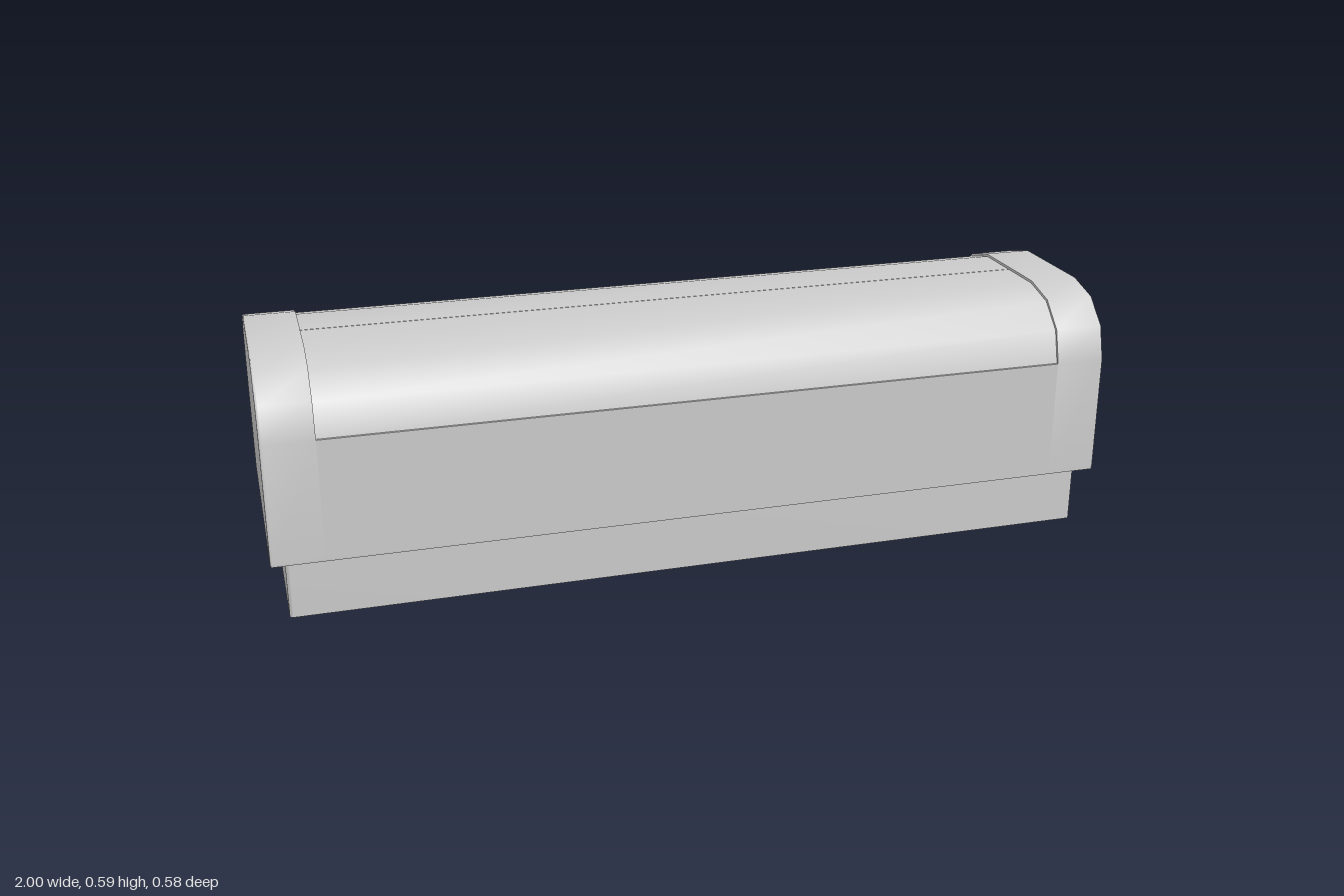
import * as THREE from 'three';
import { toCreasedNormals } from 'three/addons/utils/BufferGeometryUtils.js';

const material = new THREE.MeshStandardMaterial({ color: 0xcccccc });
const BASE = 0.145, SHOULDER = 0.433, HALF = 0.289, LID_END = 0.88, WALL = 0.004;

// Faceted arch from the shoulder to the flat top, on the +z side
const arch = [[HALF, SHOULDER], [0.268, 0.513], [0.21, 0.571], [0.125, 0.594]];

// The arch pulled inward by d
const insetArch = (d) => arch.map(([z, y]) =>
  [z * (1 - d / HALF), SHOULDER + (y - SHOULDER) * (1 - d / 0.161)]);

// Closes a half outline (bottom to top) by mirroring it about the middle
const mirrored = (half) =>
  [...half, ...half.slice().reverse().map(([z, y]) => [-z, y])];

// Wall between two half outlines, open at the bottom
const shell = (outer, inner) => [...mirrored(outer), ...mirrored(inner).reverse()];

const toShape = (points) => new THREE.Shape(points.map(([a, b]) => new THREE.Vector2(a, b)));

function addMesh(model, name, geometry) {
  const mesh = new THREE.Mesh(toCreasedNormals(geometry, 0.7), material);
  mesh.name = name;
  model.add(mesh);
}

// Extrudes a cross-section along x, optionally with softened ends
function addBar(model, name, points, x0, x1, bevel = 0) {
  const geometry = new THREE.ExtrudeGeometry(toShape(points), {
    depth: x1 - x0 - 2 * bevel,
    bevelEnabled: bevel > 0,
    bevelThickness: bevel,
    bevelSize: bevel,
    bevelOffset: -bevel,
    bevelSegments: 3,
  });
  geometry.translate(0, 0, x0 + bevel);
  geometry.rotateY(Math.PI / 2);
  addMesh(model, name, geometry);
}

function roundedRect(Type, w, d, r) {
  const s = new Type();
  s.moveTo(w - r, -d);
  s.absarc(w - r, -d + r, r, -Math.PI / 2, 0);
  s.absarc(w - r, d - r, r, 0, Math.PI / 2);
  s.absarc(-w + r, d - r, r, Math.PI / 2, Math.PI);
  s.absarc(-w + r, -d + r, r, Math.PI, Math.PI * 1.5);
  s.closePath();
  return s;
}

// Upright rectangular frame: half sizes outside and inside, corner radius, bottom and top
function addFrame(model, name, [w, d], [iw, id], r, y0, y1) {
  const shape = roundedRect(THREE.Shape, w, d, r);
  shape.holes.push(roundedRect(THREE.Path, iw, id, r));
  const geometry = new THREE.ExtrudeGeometry(shape, {
    depth: y1 - y0, bevelEnabled: false, curveSegments: 4,
  });
  geometry.rotateX(-Math.PI / 2);
  geometry.translate(0, y0, 0);
  addMesh(model, name, geometry);
}

export function createModel() {
  const model = new THREE.Group();

  // End caps: a sleeve around each end, closed by a softened plate
  const capHalf = [[HALF, BASE], ...arch];
  const sleeve = shell(capHalf, [
    [HALF - WALL, BASE], [HALF - WALL, SHOULDER - WALL], ...insetArch(0.018),
  ]);
  for (const [name, side] of [['left', 1], ['right', -1]]) {
    const span = (a, b) => (side > 0 ? [a, b] : [-b, -a]);
    addBar(model, name + 'Sleeve', sleeve, ...span(LID_END, 0.994));
    addBar(model, name + 'EndPlate', mirrored(capHalf), ...span(0.988, 1), 0.005);
  }

  // Hollow body between the caps, stepped in under the lids
  const body = shell(
    [[HALF, BASE], [HALF, SHOULDER], ...insetArch(0.014)],
    [[HALF - WALL, BASE], [HALF - WALL, SHOULDER - WALL], ...insetArch(0.018)],
  );
  addBar(model, 'body', body, -LID_END, LID_END);

  // Two lid panels meeting along the middle
  const outer = insetArch(0.006), inner = insetArch(0.014);
  const lidOutline = [
    ...outer, [0.001, outer[3][1]],
    [0.001, inner[3][1]], ...inner.reverse(),
  ];
  for (const [name, side] of [['backLid', 1], ['frontLid', -1]]) {
    const outline = lidOutline.map(([z, y]) => [z * side, y]);
    addBar(model, name, outline, -LID_END, LID_END);
  }

  // Underside with a large opening into the hollow body
  addFrame(model, 'underside', [0.998, HALF], [0.8, 0.145], 0.002, BASE, BASE + WALL);

  // Thin-walled plinth, open underneath
  addFrame(model, 'plinth', [0.967, 0.256], [0.963, 0.252], 0.008, 0, BASE);

  return model;
}
